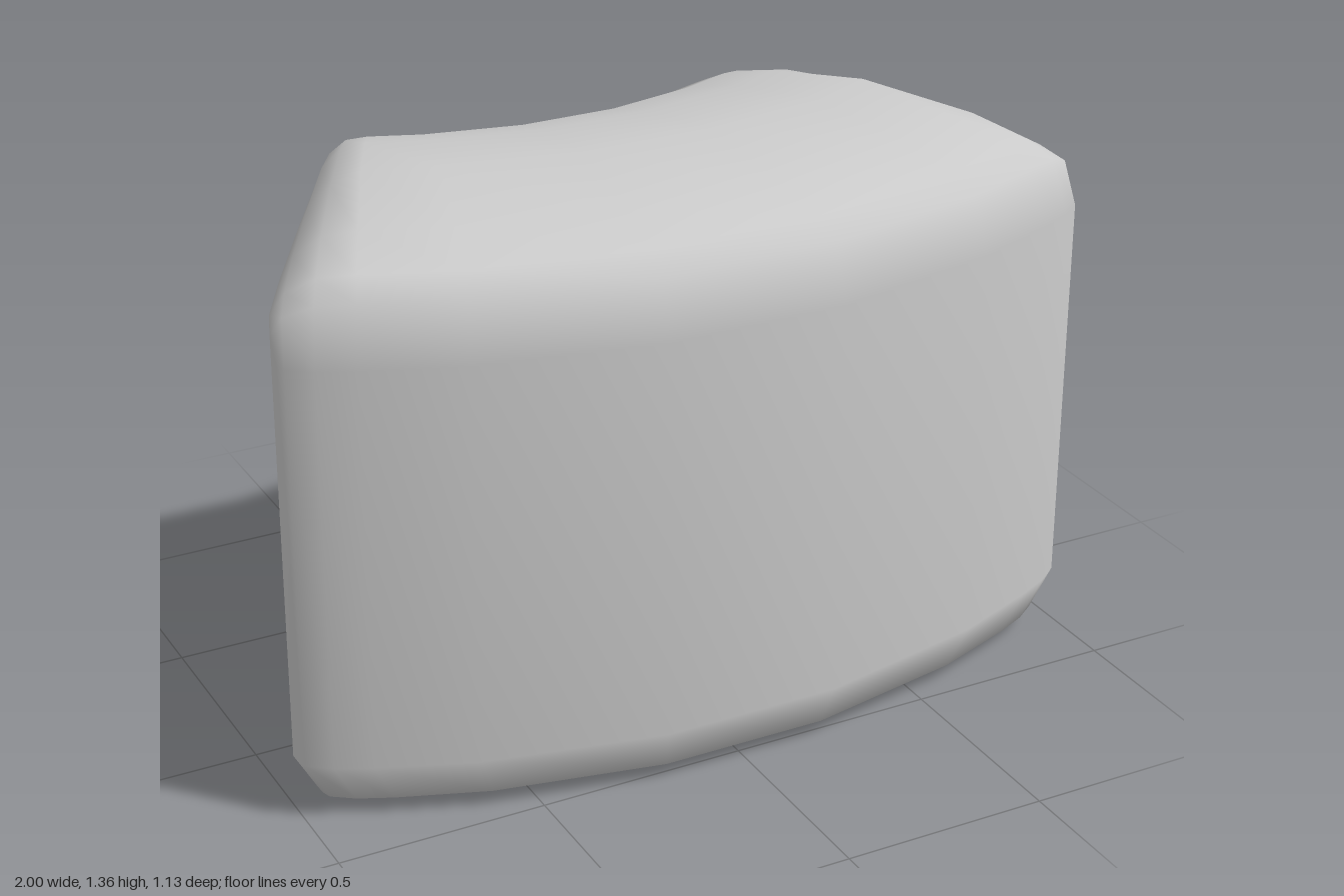
import * as THREE from 'three';

// The block is a 60 degree slice of a ring, described by angle and radius.
const CENTRE_Z = -1.5, MID = 1.552, HALF = 0.522, TOP = 1.355;

// Columns (angle in degrees) and rows (position across the ring, -1 to 1)
const COL = [6, 18, 24.5, 27, 29, 30];
const END_DROP = [0, 0, 0, 0.035, 0.09, 0.15];
const PULL_IN = [0, 0, 2, 3, 2.4, 1.7]; // corner rounding, inner edge, degrees
const PULL_OUT = [0, 0, 0, 0, 0.2, 0.7]; // corner rounding, outer edge, degrees
const PULL_R = [0, 0, 0, 0, 0.01, 0.028]; // corner rounding along the radius
const ROW = [0, 0.5, 0.78, 0.92, 1];
const DOME_DROP = [0, 0.035, 0.075, 0.11, 0.245];
const ROUNDING = [0, 0, 0, 0.4, 1];

const mirrored = (n, from) => {
  const list = [];
  for (let k = n - 1; k >= 0; k--) list.push([k, -1]);
  for (let k = from; k < n; k++) list.push([k, 1]);
  return list;
};
const cols = mirrored(COL.length, 0);
const rows = mirrored(ROW.length, 1);

// Angle, radius and crown height of one grid point
function gridPoint([c, sideX], [r, sideZ]) {
  const f = ROUNDING[r];
  const pull = (sideZ < 0 ? PULL_IN : PULL_OUT)[c];
  return {
    angle: THREE.MathUtils.degToRad(sideX * (COL[c] - pull * f)),
    radius: MID + sideZ * (ROW[r] * HALF - PULL_R[c] * f),
    y: TOP - Math.min(0.245, Math.hypot(DOME_DROP[r], END_DROP[c])),
  };
}

function toXYZ(p, y, kr = 1, ka = 1) {
  const r = MID + (p.radius - MID) * kr, a = p.angle * ka;
  return [r * Math.sin(a), y, CENTRE_Z + r * Math.cos(a)];
}

export function createModel() {
  const group = new THREE.Group();
  group.name = 'curvedCushion';
  const material = new THREE.MeshStandardMaterial({ color: 0xcccccc });
  const positions = [], index = [], points = [];
  const nx = cols.length, nz = rows.length;
  const quad = (a, b, c, d) => index.push(a, b, c, a, c, d);
  const id = (i, j) => i * nz + j;

  // Domed top
  for (const c of cols) for (const r of rows) {
    const p = gridPoint(c, r);
    points.push(p);
    positions.push(...toXYZ(p, p.y));
  }
  for (let i = 0; i < nx - 1; i++) for (let j = 0; j < nz - 1; j++) {
    quad(id(i, j), id(i, j + 1), id(i + 1, j + 1), id(i + 1, j));
  }

  // Walls and rounded lower edge, as rings around the rim of the top
  const rim = [];
  for (let j = 0; j < nz - 1; j++) rim.push(id(0, j));
  for (let i = 0; i < nx - 1; i++) rim.push(id(i, nz - 1));
  for (let j = nz - 1; j > 0; j--) rim.push(id(nx - 1, j));
  for (let i = nx - 1; i > 0; i--) rim.push(id(i, 0));
  let upper = rim, outline = [];
  for (const [y, kr, ka] of [[0.14, 1, 1], [0.04, 0.935, 0.955], [0, 0.75, 0.83]]) {
    const lower = [];
    outline = [];
    for (const k of rim) {
      const v = toXYZ(points[k], y, kr, ka);
      lower.push(positions.length / 3);
      positions.push(...v);
      outline.push(new THREE.Vector2(v[0], v[2]));
    }
    for (let k = 0; k < rim.length; k++) {
      const n = (k + 1) % rim.length;
      quad(upper[k], lower[k], lower[n], upper[n]);
    }
    upper = lower;
  }
  const geometry = new THREE.BufferGeometry();
  geometry.setAttribute('position', new THREE.Float32BufferAttribute(positions, 3));
  geometry.setIndex(index);
  geometry.computeVertexNormals();
  const body = new THREE.Mesh(geometry, material);
  body.name = 'cushionBody';
  group.add(body);

  // Flat underside
  const base = new THREE.Mesh(
    new THREE.ShapeGeometry(new THREE.Shape(outline)).rotateX(Math.PI / 2), material);
  base.name = 'underside';
  group.add(base);
  return group;
}
